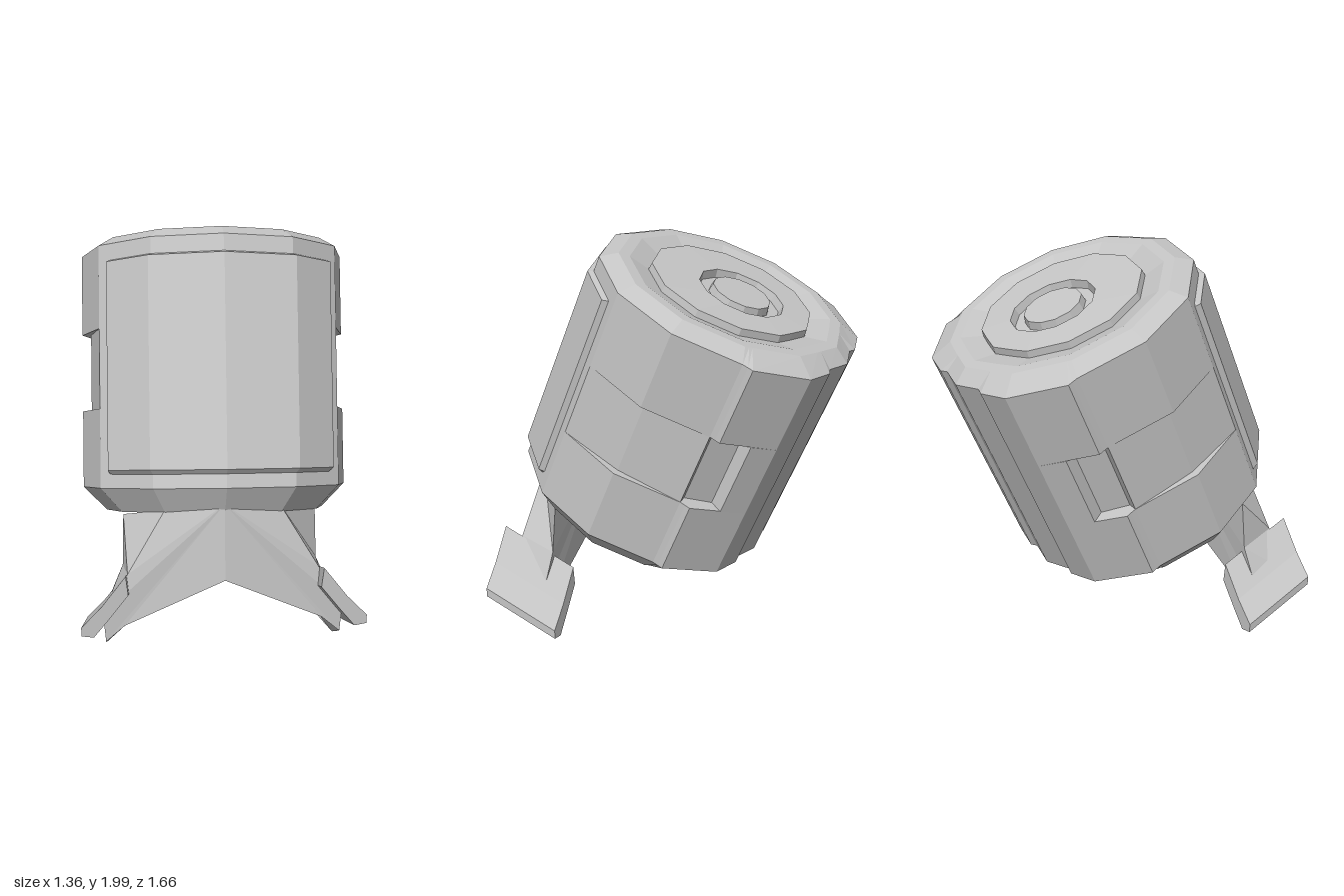
import * as THREE from 'three';

const RAD = Math.PI / 180;

// Skins closed rings of points into a flat-shaded solid; hub picks the centre of each cap fan.
function loft(rings, hub) {
  const pos = [];
  const tri = (a, b, c) => pos.push(...a, ...b, ...c);
  const mean = (r) => [0, 1, 2].map((k) => r.reduce((s, p) => s + p[k], 0) / r.length);
  const centre = hub || mean;
  const n = rings[0].length;
  for (let k = 0; k < rings.length - 1; k++) {
    for (let i = 0; i < n; i++) {
      const j = (i + 1) % n;
      tri(rings[k][i], rings[k][j], rings[k + 1][j]);
      tri(rings[k][i], rings[k + 1][j], rings[k + 1][i]);
    }
  }
  const first = rings[0], last = rings[rings.length - 1];
  const h0 = centre(first), h1 = centre(last);
  for (let i = 0; i < n; i++) {
    const j = (i + 1) % n;
    tri(h0, first[j], first[i]);
    tri(h1, last[i], last[j]);
  }
  const g = new THREE.BufferGeometry();
  g.setAttribute('position', new THREE.Float32BufferAttribute(pos, 3));
  g.computeVertexNormals();
  return g;
}

// Radius of a twelve-sided polygon at an angle
const polyR = (deg, r) => {
  const m = ((deg % 30) + 30) % 30;
  return (r * Math.cos(15 * RAD)) / Math.cos((m - 15) * RAD);
};

const CZ = 0.478; // barrel axis offset
const at = (deg, r, y, cz = CZ) => [r * Math.sin(deg * RAD), y, cz + r * Math.cos(deg * RAD)];

// Half sections as [angle from front, radius]
const plainHalf = [[0, 0.655], [30, 0.655], [60, 0.655], [90, 0.655], [120, 0.655], [122, 0.67],
  [123.7, 0.686], [149, 0.69], [162.8, 0.66], [166, 0.635], [180, 0.655]];
const windowHalf = [[0, 0.655], [30, 0.655], [60, 0.655], [90, 0.612], [120, 0.655], [122, 0.61],
  [135.5, 0.61], [137.5, 0.674], [149, 0.69], [162.8, 0.66], [166, 0.635], [180, 0.655]];

const full = (half) => [...half, ...half.slice(1, -1).reverse().map(([a, r]) => [360 - a, r])];
const section = (half, y, s = 1) => full(half).map(([a, r]) => at(a, r * s, y));
const round = (half, r, y, cz) => full(half).map(([a]) => at(a, polyR(a, r), y, cz));

export function createModel() {
  const model = new THREE.Group();
  model.name = 'tiltedBarrelOnLegs';
  const grey = new THREE.MeshStandardMaterial({ color: 0xc4c4c4 });
  grey.name = 'grey';
  grey.flatShading = true;

  const add = (parent, name, geometry) => {
    const mesh = new THREE.Mesh(geometry, grey);
    mesh.name = name;
    parent.add(mesh);
  };

  // Barrel, leaning back
  const barrel = new THREE.Group();
  barrel.name = 'barrel';
  barrel.rotation.set(-0.407, 0, -0.022);
  barrel.position.x = -0.007;
  model.add(barrel);

  const axisHub = (r) => [0, r[0][1], CZ];
  add(barrel, 'lowerBody', loft([
    round(plainHalf, 0.54, 0.415),
    section(plainHalf, 0.53),
    section(plainHalf, 0.905),
  ], axisHub));
  add(barrel, 'windowBand', loft([
    section(windowHalf, 0.905),
    section(windowHalf, 1.285),
  ], axisHub));

  // Upper body with a shallow moat and a small socket in the lid
  const P = plainHalf, S = CZ - 0.05;
  add(barrel, 'upperBodyAndLid', loft([
    section(P, 1.285),
    section(P, 1.68),
    round(P, 0.575, 1.728),
    round(P, 0.52, 1.728),
    round(P, 0.415, 1.695),
    round(P, 0.41, 1.73),
    round(P, 0.217, 1.735, S),
    round(P, 0.207, 1.695, S),
    round(P, 0.155, 1.695, S),
    round(P, 0.147, 1.735, S),
  ], (r) => [0, r[0][1], r[0][1] > 1.7 ? S : CZ]));

  // Raised front panel with bevelled edges
  const panelRing = (r, y) => [
    ...[-53, -30, 0, 30, 53].map((a) => at(a, polyR(a, r), y)),
    ...[55, 30, 0, -30, -55].map((a) => at(a, polyR(a, Math.abs(a) === 55 ? 0.65 : 0.63), y)),
  ];
  add(barrel, 'frontPanel', loft([
    panelRing(0.655, 0.595),
    panelRing(0.683, 0.615),
    panelRing(0.683, 1.592),
    panelRing(0.655, 1.602),
  ], (r) => r[7]));

  // Forked leg bracket, wider at the back
  const mirrored = (half) => [...half, ...half.slice(1, -1).reverse().map(([x, y, z]) => [-x, y, z])];
  const bracketFront = [[0, 0.83, 0.775], [0.27, 0.775, 0.7], [0.45, 0.47, 0.74], [0.57, 0.27, 0.75],
    [0.56, 0.12, 0.75], [0.47, 0.205, 0.755], [0, 0.46, 0.82]];
  const bracketBack = [[0, 0.71, 0.55], [0.46, 0.68, 0.53], [0.47, 0.42, 0.55], [0.57, 0.18, 0.57],
    [0.56, 0.01, 0.58], [0.47, 0.14, 0.57], [0, 0.36, 0.58]];
  add(model, 'legBracket', loft([mirrored(bracketFront), mirrored(bracketBack)], (r) => r[0]));

  // Splayed foot plates
  const footProfile = [[0.46, 0.51], [0.575, 0.355], [0.672, 0.25], [0.672, 0.205], [0.615, 0.195],
    [0.54, 0.29], [0.45, 0.41]];
  for (const side of [1, -1]) {
    const ring = (z, dx, dy) => {
      const pts = footProfile.map(([x, y]) => [side * (x + dx), y + dy, z]);
      return side > 0 ? pts : pts.reverse();
    };
    add(model, side > 0 ? 'leftFoot' : 'rightFoot',
      loft([ring(0.83, 0, 0), ring(0.45, -0.02, -0.17)]));
  }
  return model;
}
